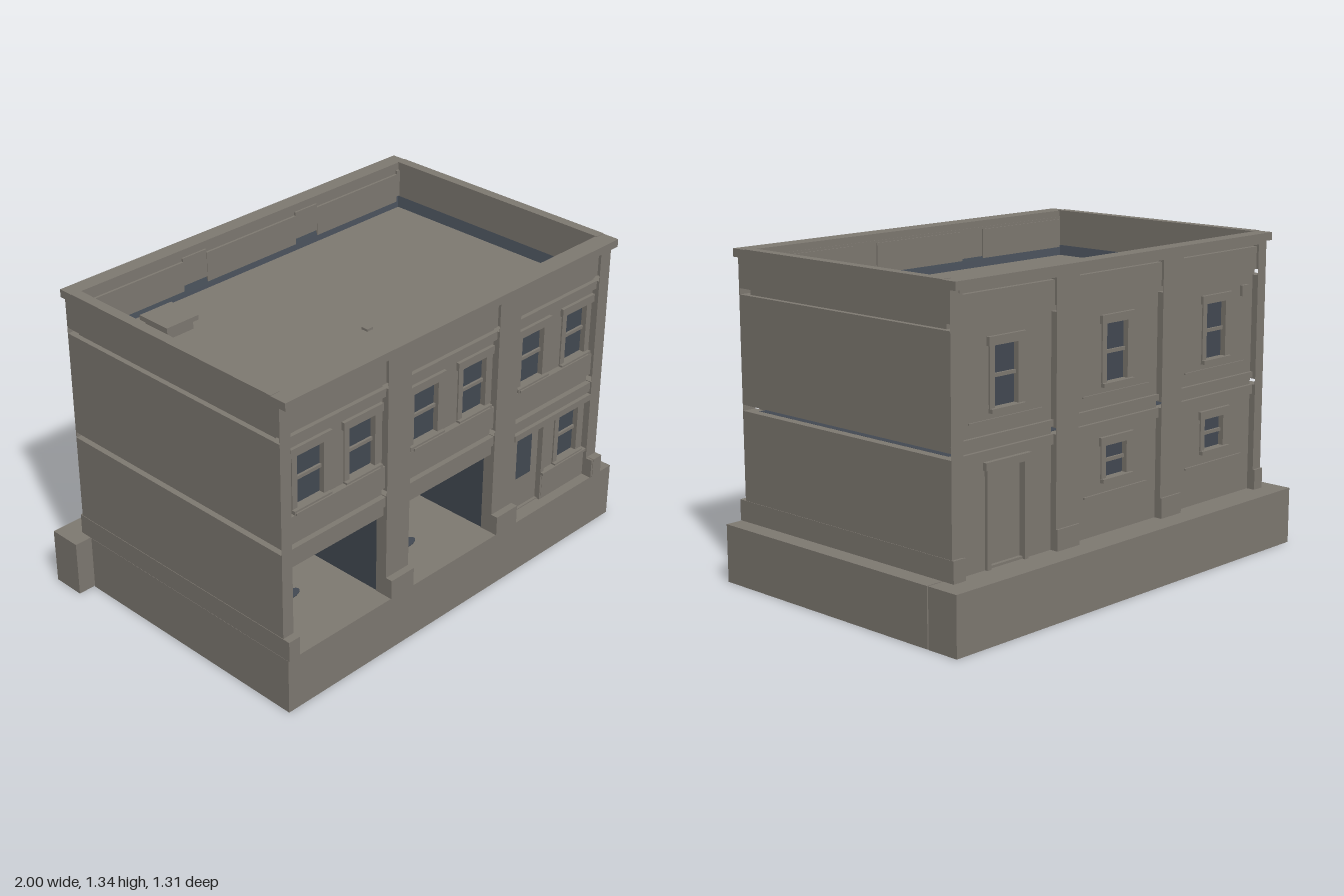
import * as THREE from 'three';

const mat = (name, color) => {
  const m = new THREE.MeshStandardMaterial({ color });
  m.name = name;
  return m;
};

export function createModel() {
  const model = new THREE.Group();
  model.name = 'twoStoreyBuilding';
  const stone = mat('stoneGrey', 0x7f7a72);
  const dark = mat('darkSlate', 0x434a53);

  const add = (name, geo, m = stone) => {
    const mesh = new THREE.Mesh(geo, m);
    mesh.name = name;
    model.add(mesh);
    return mesh;
  };
  // Box from its limits on each axis
  const box = (name, x0, x1, y0, y1, z0, z1, m) => {
    const mesh = add(name, new THREE.BoxGeometry(x1 - x0, y1 - y0, z1 - z0), m);
    mesh.position.set((x0 + x1) / 2, (y0 + y1) / 2, (z0 + z1) / 2);
    return mesh;
  };
  // Upright wall slab with rectangular holes [x0, x1, y0, y1]
  const wall = (name, x0, x1, y0, y1, z0, z1, holes) => {
    const rect = (S, a, b, c, d) => {
      const s = new S();
      s.moveTo(a, c).lineTo(b, c).lineTo(b, d).lineTo(a, d).closePath();
      return s;
    };
    const shape = rect(THREE.Shape, x0, x1, y0, y1);
    holes.forEach(h => shape.holes.push(rect(THREE.Path, ...h)));
    const geo = new THREE.ExtrudeGeometry(shape, { depth: z1 - z0, bevelEnabled: false });
    add(name, geo).position.z = z0;
  };
  // Sash window filling an opening; z is the outer wall face, d its outward direction
  const sash = (x0, x1, y0, y1, z, d) => {
    const zb = (name, a, b, c, e, p, q, m) =>
      box(name, a, b, c, e, Math.min(z + d * p, z + d * q), Math.max(z + d * p, z + d * q), m);
    const mid = (y0 + y1) / 2;
    zb('windowGlass', x0, x1, y0, y1, -0.024, -0.018, dark);
    zb('windowJamb', x0 - 0.018, x0 + 0.008, y0, y1, -0.018, 0.006);
    zb('windowJamb', x1 - 0.008, x1 + 0.018, y0, y1, -0.018, 0.006);
    zb('windowRail', x0, x1, mid - 0.007, mid + 0.007, -0.018, -0.008);
    zb('windowSill', x0 - 0.02, x1 + 0.02, y0 - 0.012, y0 + 0.004, -0.018, 0.02);
    zb('windowHead', x0 - 0.028, x1 + 0.028, y1 - 0.004, y1 + 0.03, -0.018, 0.014);
  };

  // Base and the wider slab along the back
  box('base', -0.925, 1, 0, 0.24, -0.5, 0.65);
  box('backSlab', -1, 1, 0, 0.24, -0.65, -0.506);

  // Side walls in tiers with open joints, recessed parapet and dark lining
  const tiers = [[0.325, 0.695], [0.72, 1.16], [1.185, 1.305]];
  for (const s of [-1, 1]) {
    const side = (name, a, b, y0, y1, z0, z1, m) =>
      box(name, Math.min(s * a, s * b), Math.max(s * a, s * b), y0, y1, z0, z1, m);
    tiers.forEach(([a, b]) => side('sideWall', 0.885, 0.922, a, b, -0.55, 0.622));
    side('sidePlinth', 0.87, 0.924, 0.24, 0.327, -0.56, 0.655);
    side('sideParapet', 0.88, 0.9, 1.12, 1.32, -0.51, 0.58);
    side('sideCoping', 0.878, 0.922, 1.303, 1.34, -0.51, 0.58);
    side('sideLining', 0.876, 0.884, 0.24, 0.695, -0.51, 0.57, dark);
  }

  // Pilasters on front and back: tiered shafts, continuous faces and plinths
  const piers = [[-0.922, -0.87], [-0.375, -0.25], [0.245, 0.37], [0.86, 0.922]];
  for (const [x0, x1] of piers) {
    tiers.forEach(([a, b]) => {
      box('frontPilaster', x0, x1, a, b, 0.57, 0.62);
      box('backPilaster', x0, x1, a, b, -0.548, -0.5);
    });
    box('frontPilasterFace', x0, x1, 0.24, 1.3, 0.62, 0.622);
    box('backPilasterFace', x0, x1, 0.24, 1.3, -0.55, -0.548);
    box('frontPlinth', x0, x1, 0.24, 0.325, 0.57, 0.653);
    box('backPlinth', x0, x1, 0.24, 0.325, -0.558, -0.5);
  }

  // Bays between the pilasters
  const bays = [[-0.87, -0.375], [-0.25, 0.245], [0.37, 0.86]];
  const upper = [[[-0.825, -0.675], [-0.56, -0.41]], [[-0.215, -0.065], [0.06, 0.21]], [[0.41, 0.56], [0.685, 0.83]]];
  bays.forEach(([x0, x1], i) => {
    const garage = i < 2;
    const c = (x0 + x1) / 2;

    // Front wall with its upper windows
    const wins = upper[i].map(([a, b]) => [a, b, 0.84, 1.07]);
    wall('frontUpperWall', x0, x1, 0.605, 1.3, 0.565, 0.592, wins);
    wins.forEach(w => sash(...w, 0.592, 1));
    box('upperSillCourse', x0 + 0.03, x1 - 0.03, 0.826, 0.836, 0.59, 0.618);
    box('frontSpandrel', x0, x1, 0.73, 0.826, 0.59, 0.61);
    box('frontLintelBand', x0, x1, 0.605, 0.65, 0.59, 0.605);
    box('frontLintelCap', x0, x1, 0.65, 0.692, 0.59, 0.615);
    box('frontWindowBand', x0, x1, 1.125, 1.16, 0.59, 0.61);
    box('frontFrieze', x0, x1, 1.185, 1.29, 0.59, 0.61);
    if (garage) {
      box('garageReveal', x0, x1, 0.595, 0.605, 0.565, 0.585, dark);
    }

    // Back wall with one upper window and a lower window or door
    const up = [c - 0.07, c + 0.07, 0.84, 1.08];
    const low = garage ? [c - 0.07, c + 0.07, 0.46, 0.6] : [c - 0.09, c + 0.09, 0.25, 0.62];
    wall('backWall', x0, x1, 0.24, 1.29, -0.522, -0.498, [up, low]);
    sash(...up, -0.522, -1);
    if (garage) {
      sash(...low, -0.522, -1);
      box('backSillCourse', x0 + 0.06, x1 - 0.06, 0.4, 0.408, -0.53, -0.52);
    } else {
      box('backDoor', low[0], low[1], 0.24, 0.62, -0.506, -0.5);
      for (const x of [low[0] - 0.02, low[1]])
        box('backDoorJamb', x, x + 0.02, 0.24, 0.64, -0.535, -0.5);
      box('backDoorHead', low[0] - 0.03, low[1] + 0.03, 0.62, 0.65, -0.54, -0.5);
    }
    box('backLowerCourse', x0, x1, 0.655, 0.695, -0.535, -0.52);
    box('backUpperCourse', x0, x1, 0.725, 0.75, -0.535, -0.52);
    box('backSpandrelCourse', x0 + 0.05, x1 - 0.05, 0.8, 0.806, -0.528, -0.52);
    box('backFrieze', x0, x1, 1.185, 1.28, -0.54, -0.52);
  });
  box('wallBox', -0.83, -0.785, 1.08, 1.125, -0.535, -0.52);

  // Shop bay: entrance door, window and panel below it
  wall('shopFront', 0.37, 0.86, 0.24, 0.606, 0.565, 0.592, [[0.415, 0.575, 0.245, 0.6], [0.68, 0.82, 0.375, 0.605]]);
  sash(0.68, 0.82, 0.375, 0.6, 0.592, 1);
  box('shopPanel', 0.585, 0.86, 0.24, 0.36, 0.59, 0.606);
  box('shopSill', 0.575, 0.86, 0.36, 0.372, 0.59, 0.618);
  box('frontDoor', 0.415, 0.575, 0.24, 0.6, 0.57, 0.58);
  box('frontDoorGlass', 0.435, 0.53, 0.39, 0.575, 0.58, 0.584, dark);
  for (const x of [0.39, 0.575]) box('frontDoorJamb', x, x + 0.02, 0.24, 0.61, 0.585, 0.605);
  box('shopHead', 0.375, 0.86, 0.61, 0.638, 0.59, 0.622);

  // Dark rooms inside: rear lining, partitions and ceiling
  box('rearLining', -0.88, 0.88, 0.24, 0.695, -0.494, -0.488, dark);
  box('ceiling', -0.88, 0.88, 0.688, 0.695, -0.488, 0.565, dark);
  for (const x of [-0.312, 0.308]) box('partition', x - 0.06, x + 0.06, 0.24, 0.69, -0.49, 0.57, dark);

  // Garage fittings
  for (const x of [-0.805, -0.21]) box('wallBoard', x, x + 0.225, 0.41, 0.55, -0.488, -0.48);
  for (const x of [-0.825, -0.415]) box('garagePost', x - 0.015, x + 0.015, 0.24, 0.69, 0.16, 0.19);
  box('cabinet', -0.81, -0.755, 0.24, 0.365, -0.47, -0.38);
  box('workbench', 0.08, 0.19, 0.24, 0.39, -0.47, -0.3);
  box('workbenchTop', 0.07, 0.2, 0.39, 0.42, -0.475, -0.29);
  box('chairBack', -0.22, -0.15, 0.3, 0.36, -0.32, -0.31);
  box('chairSeat', -0.2, -0.135, 0.295, 0.307, -0.31, -0.24);
  for (const x of [-0.195, -0.145]) for (const z of [-0.3, -0.25])
    box('chairLeg', x - 0.005, x + 0.005, 0.24, 0.295, z - 0.005, z + 0.005, dark);
  for (const [x, z] of [[-0.64, 0.35], [-0.065, 0.43]]) {
    const drain = add('floorDrain', new THREE.CylinderGeometry(0.06, 0.06, 0.004, 16), dark);
    drain.position.set(x, 0.242, z);
    drain.scale.z = 0.45;
  }

  // Parapets and cornices at front and back
  box('frontParapet', -0.88, 0.88, 1.12, 1.31, 0.57, 0.585);
  box('backParapet', -0.88, 0.88, 1.12, 1.3, -0.52, -0.508);
  box('frontCorniceBed', -0.88, 0.88, 1.288, 1.312, 0.572, 0.63);
  box('frontCornice', -0.922, 0.922, 1.305, 1.338, 0.572, 0.653);
  box('backCorniceBed', -0.88, 0.88, 1.29, 1.312, -0.555, -0.508);
  box('backCornice', -0.922, 0.922, 1.305, 1.338, -0.577, -0.508);

  // Roof, sloping flashing around it, hatch and vents
  box('roof', -0.88, 0.88, 1.12, 1.14, -0.51, 0.572);
  const flashing = (w, x, z, turn) => {
    const g = new THREE.BoxGeometry(w, 0.046, 0.005);
    g.rotateX(-0.4);
    const m = add('roofFlashing', g, dark);
    m.rotation.y = turn;
    m.position.set(x, 1.16, z);
  };
  flashing(1.76, 0, -0.5, 0);
  flashing(1.76, 0, 0.562, Math.PI);
  flashing(1.07, -0.871, 0.03, Math.PI / 2);
  flashing(1.07, 0.871, 0.03, -Math.PI / 2);
  box('roofHatch', -0.665, -0.535, 1.14, 1.18, -0.395, -0.265);
  box('roofHatchLid', -0.68, -0.52, 1.18, 1.2, -0.41, -0.25);
  for (const [x, z] of [[-0.68, 0.125], [-0.065, 0.215]])
    box('roofVent', x - 0.016, x + 0.016, 1.14, 1.15, z - 0.016, z + 0.016);

  return model;
}
